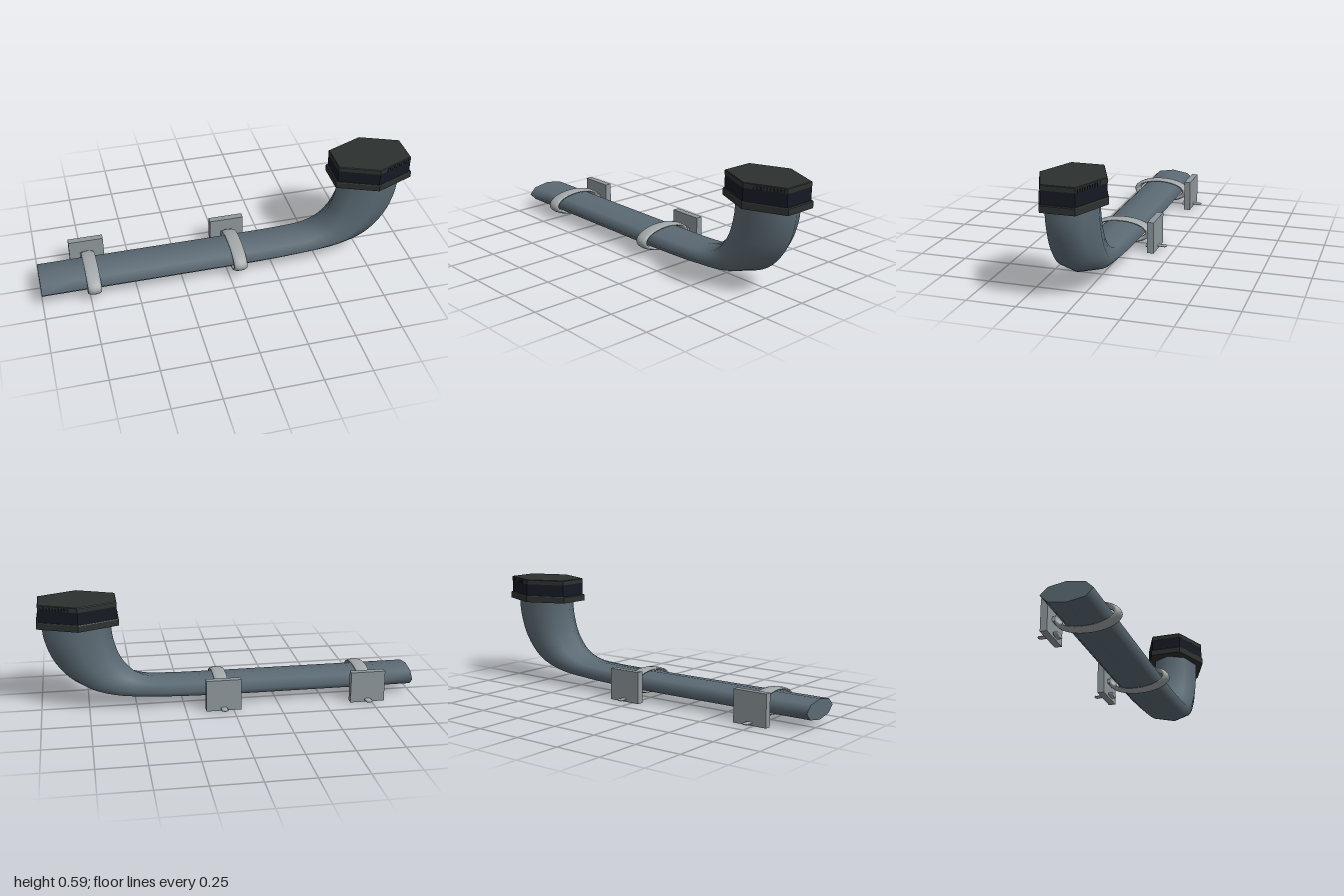
import * as THREE from 'three';

const CZ = 0.037; // pipe axis depth
const mat = (color, opts = {}) => {
  const m = new THREE.MeshStandardMaterial(opts);
  m.color.set(color);
  return m;
};
const pipeMat = mat(0x5b6a74, { side: THREE.DoubleSide });
const clampMat = mat(0xa3a8aa);
const plateMat = mat(0x8f989c);
const rubberMat = mat(0x2c312f, { flatShading: true });
const bandMat = mat(0x151922, { flatShading: true });

function add(parent, name, geometry, material, x = 0, y = 0, z = 0) {
  const mesh = new THREE.Mesh(geometry, material);
  mesh.name = name;
  mesh.position.set(x, y, z);
  parent.add(mesh);
  return mesh;
}

// Eight-sided pipe lofted between its lower/outer and upper/inner outlines
function pipeGeometry() {
  const outer = [[-1, 0.034], [-0.4, 0.034], [0.1, 0.036], [0.4, 0.047], [0.65, 0.073],
    [0.81, 0.134], [0.917, 0.25], [0.967, 0.38], [0.978, 0.48]];
  const inner = [[-1, 0.138], [-0.4, 0.138], [0.1, 0.138], [0.32, 0.14], [0.43, 0.149],
    [0.51, 0.185], [0.575, 0.265], [0.61, 0.37], [0.622, 0.48]];
  const curve = (pts) => new THREE.CatmullRomCurve3(pts.map(([x, y]) => new THREE.Vector3(x, y, CZ)));
  const lo = curve(outer), hi = curve(inner);
  const steps = 32, sides = 8, pos = [], index = [];
  for (let i = 0; i <= steps; i++) {
    const a = lo.getPoint(i / steps), b = hi.getPoint(i / steps);
    const mid = a.clone().add(b).multiplyScalar(0.5);
    const half = b.clone().sub(a).multiplyScalar(0.5);
    for (let j = 0; j < sides; j++) {
      const t = (j / sides) * Math.PI * 2;
      pos.push(mid.x + half.x * Math.sin(t), mid.y + half.y * Math.sin(t), CZ + 0.127 * Math.cos(t));
      if (i === steps) continue;
      const k = (j + 1) % sides;
      const p = i * sides + j, q = p + sides, r = (i + 1) * sides + k, s = i * sides + k;
      index.push(p, q, r, p, r, s);
    }
  }
  const g = new THREE.BufferGeometry();
  g.setAttribute('position', new THREE.Float32BufferAttribute(pos, 3));
  g.setIndex(index);
  g.computeVertexNormals();
  return g;
}

// Six-sided slab stretched along x, with corners pointing to +z and -z
function hexSlab(rx, rz, y0, y1, topScale = 1) {
  const g = new THREE.CylinderGeometry(topScale, 1, y1 - y0, 6);
  g.scale(rx, 1, rz);
  g.translate(0, (y0 + y1) / 2, 0);
  return g;
}

function makeCap() {
  const cap = new THREE.Group();
  cap.name = 'endCap';
  cap.position.set(0.79, 0, CZ);
  add(cap, 'collar', hexSlab(0.242, 0.171, 0.465, 0.497), rubberMat);
  add(cap, 'collarBevel', hexSlab(0.242, 0.171, 0.497, 0.501, 0.985), rubberMat);
  add(cap, 'capBand', hexSlab(0.23, 0.165, 0.5, 0.566), bandMat);
  add(cap, 'lid', hexSlab(0.231, 0.1655, 0.566, 0.589), rubberMat);
  add(cap, 'lidBevel', hexSlab(0.231, 0.1655, 0.589, 0.592, 0.985), rubberMat);
  // Grip ribs on the two slanted faces at the outer end
  const ex = 0.231 * Math.cos(Math.PI / 6);
  for (const side of [1, -1]) {
    for (let i = 0; i < 10; i++) {
      const t = 0.08 + i * 0.075;
      const rib = add(cap, 'gripRib', new THREE.BoxGeometry(0.008, 0.017, 0.004), bandMat,
        ex * (1 - t), 0.574, side * 0.1655 * (0.5 + 0.5 * t));
      rib.rotation.y = side * Math.atan2(0.0828, ex);
    }
  }
  return cap;
}

// Flattened bolt along -z: head, shank and thread ridges
function boltGeometry() {
  const profile = [[0, 0], [0.009, 0], [0.011, 0.002], [0.011, 0.02], [0.009, 0.023], [0.0045, 0.023], [0.0045, 0.06]];
  for (let i = 0; i < 6; i++) {
    profile.push([0.0058, 0.064 + i * 0.007], [0.0042, 0.0675 + i * 0.007]);
  }
  profile.push([0.003, 0.108], [0, 0.109]);
  const g = new THREE.LatheGeometry(profile.map(([r, l]) => new THREE.Vector2(r, l)), 12);
  g.rotateX(-Math.PI / 2);
  g.scale(3.3, 1, 1);
  return g;
}

function makeClamp(x) {
  const clamp = new THREE.Group();
  clamp.name = 'pipeClamp';
  clamp.position.x = x;
  const ring = new THREE.TorusGeometry(0.89, 0.11, 10, 40);
  ring.rotateY(Math.PI / 2);
  ring.scale(0.34, 0.067, 0.165);
  add(clamp, 'clampRing', ring, clampMat, 0, 0.087, 0.038);
  add(clamp, 'wallPlate', new THREE.BoxGeometry(0.186, 0.169, 0.035), plateMat, 0, 0.0865, -0.143);
  add(clamp, 'bolt', boltGeometry(), clampMat, 0, 0.017, -0.099);
  // Short foot joining the ring to the plate
  add(clamp, 'ringFoot', new THREE.BoxGeometry(0.07, 0.024, 0.014), clampMat, 0, 0.087, -0.122);
  return clamp;
}

export function createModel() {
  const model = new THREE.Group();
  model.name = 'wallPipe';
  add(model, 'pipe', pipeGeometry(), pipeMat);
  const end = new THREE.CircleGeometry(1, 8);
  end.rotateY(-Math.PI / 2);
  end.scale(1, 0.052, 0.127);
  add(model, 'pipeEnd', end, pipeMat, -1, 0.086, CZ);
  model.add(makeCap());
  for (const x of [-0.728, 0.052]) model.add(makeClamp(x));
  return model;
}
